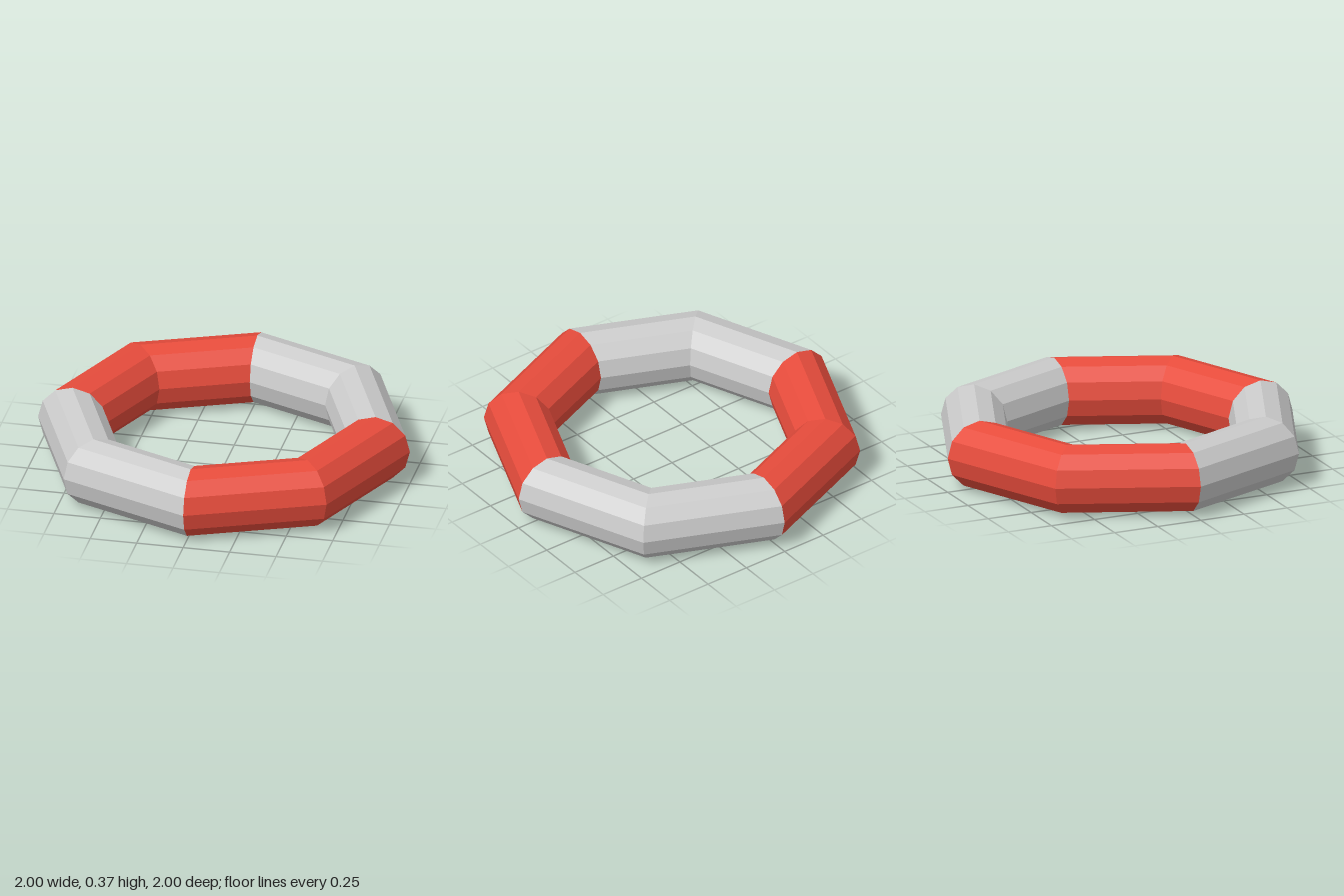
import * as THREE from 'three';

const TUBE = 0.185;        // radius of the 12-sided tube
const RING = 1 - TUBE;     // radius of the 8-sided ring

export function createModel() {
  const model = new THREE.Group();
  model.name = 'lifebuoy';

  const red = new THREE.MeshStandardMaterial({ color: 0xe74c3c, flatShading: true });
  const grey = new THREE.MeshStandardMaterial({ color: 0xcccccc, flatShading: true });

  // One quarter of the ring, laid flat, from +x round to +z
  const quarter = new THREE.TorusGeometry(RING, TUBE, 12, 2, Math.PI / 2);
  quarter.rotateX(Math.PI / 2);
  quarter.translate(0, TUBE, 0);

  // Four quarters in alternating colours
  ['frontLeft', 'frontRight', 'backRight', 'backLeft'].forEach((place, i) => {
    const mesh = new THREE.Mesh(quarter, i % 2 === 0 ? red : grey);
    mesh.name = `${place}RingQuarter`;
    mesh.rotation.y = -i * Math.PI / 2;
    model.add(mesh);
  });

  return model;
}
